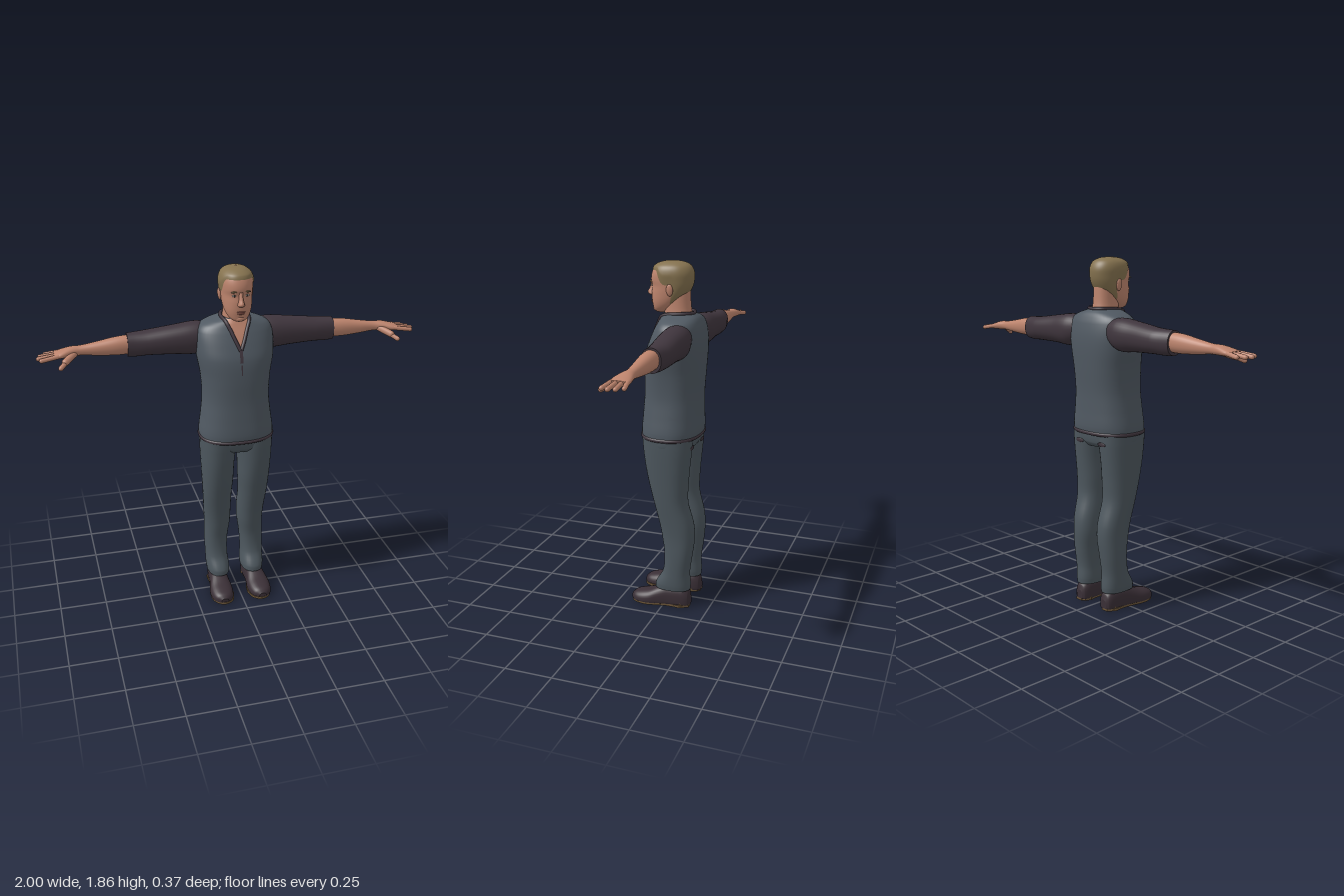
import * as THREE from 'three';

const mat = (name, color) => {
  const m = new THREE.MeshStandardMaterial({ color });
  m.name = name;
  return m;
};

// Sections are [t, centre, halfWidth, high, low]; smooth interpolation along t
function section(secs, t) {
  const last = secs.length - 1;
  let i = 0;
  while (i < last - 1 && t > secs[i + 1][0]) i++;
  const a = secs[i], b = secs[i + 1], p = secs[Math.max(i - 1, 0)], q = secs[Math.min(i + 2, last)];
  const h = b[0] - a[0], u = THREE.MathUtils.clamp((t - a[0]) / h, 0, 1);
  const u2 = u * u, u3 = u2 * u;
  return [1, 2, 3, 4].map((k) => {
    const ma = (b[k] - p[k]) / (b[0] - p[0]), mb = (q[k] - a[k]) / (q[0] - a[0]);
    return (2 * u3 - 3 * u2 + 1) * a[k] + (u3 - 2 * u2 + u) * h * ma + (3 * u2 - 2 * u3) * b[k] + (u3 - u2) * h * mb;
  });
}

// Point on a superelliptic section: [across, along, depth]
function surface(secs, t, ang, n, grow = 1) {
  const [c, r, hi, lo] = section(secs, t);
  const pw = (v) => Math.sign(v) * Math.abs(v) ** (2 / n);
  return [c + r * grow * pw(Math.cos(ang)), t, (hi + lo) / 2 + ((hi - lo) / 2) * grow * pw(Math.sin(ang))];
}

// Front depth of a vertical loft at x, y
function frontZ(secs, x, y, n) {
  const [c, r, hi, lo] = section(secs, y);
  const k = Math.max(0, 1 - Math.abs((x - c) / r) ** n) ** (1 / n);
  return (hi + lo) / 2 + ((hi - lo) / 2) * k;
}

function build(pos, index) {
  const g = new THREE.BufferGeometry();
  g.setAttribute('position', new THREE.Float32BufferAttribute(pos, 3));
  g.setIndex(index);
  g.computeVertexNormals();
  return g;
}

const upright = (p) => p;
const alongX = ([a, t, b]) => [t, b, a];
const alongZ = ([a, t, b]) => [-a, Math.max(b, 0.012), t];

// Closed tube through the sections, capped at both ends
function loft(secs, { map = upright, n = 2.2, seg = 32, sub = 5 } = {}) {
  const ts = [];
  secs.slice(0, -1).forEach((s, i) => {
    for (let k = 0; k < sub; k++) ts.push(s[0] + ((secs[i + 1][0] - s[0]) * k) / sub);
  });
  ts.push(secs.at(-1)[0]);
  const pos = [], idx = [];
  const ring = (t) => {
    for (let j = 0; j < seg; j++) pos.push(...map(surface(secs, t, (j / seg) * Math.PI * 2, n)));
  };
  ts.forEach((t, i) => {
    ring(t);
    for (let j = 0; i && j < seg; j++) {
      const k = (j + 1) % seg, a = (i - 1) * seg, b = i * seg;
      idx.push(a + j, b + j, a + k, b + j, b + k, a + k);
    }
  });
  [ts[0], ts.at(-1)].forEach((t, top) => {
    const base = pos.length / 3, [c, , hi, lo] = section(secs, t);
    ring(t);
    pos.push(...map([c, t, (hi + lo) / 2]));
    for (let j = 0; j < seg; j++) {
      const a = base + j, b = base + ((j + 1) % seg);
      idx.push(base + seg, top ? b : a, top ? a : b);
    }
  });
  return build(pos, idx);
}

// Thin face lying on the front of a vertical loft
function frontPatch(secs, y0, y1, width, n, off) {
  const pos = [], idx = [], N = 12;
  for (let j = 0; j <= N; j++) for (let i = 0; i <= N; i++) {
    const y = y0 + ((y1 - y0) * j) / N, x = ((i / N) * 2 - 1) * width(j / N);
    pos.push(x, y, frontZ(secs, x, y, n) + off);
    if (i < N && j < N) {
      const a = j * (N + 1) + i, b = a + N + 1;
      idx.push(a, a + 1, b, a + 1, b + 1, b);
    }
  }
  return build(pos, idx);
}

function blob(x, y, z, sx, sy, sz, tilt = 0) {
  return new THREE.SphereGeometry(1, 20, 14).scale(sx, sy, sz).rotateZ(tilt).translate(x, y, z);
}

function capsule(a, b, r) {
  const p = new THREE.Vector3(...a), q = new THREE.Vector3(...b), d = q.clone().sub(p);
  const g = new THREE.CapsuleGeometry(r, d.length(), 5, 12);
  g.applyQuaternion(new THREE.Quaternion().setFromUnitVectors(new THREE.Vector3(0, 1, 0), d.normalize()));
  return g.translate(...p.add(q).multiplyScalar(0.5).toArray());
}

function mirrored(geo) {
  const g = geo.clone().scale(-1, 1, 1), ix = g.index;
  for (let i = 0; i < ix.count; i += 3) {
    const a = ix.getX(i);
    ix.setX(i, ix.getX(i + 1));
    ix.setX(i + 1, a);
  }
  return g;
}

export function createModel() {
  const skin = mat('skin', 0xbd846d), shirt = mat('shirt cloth', 0x505962), trousers = mat('trouser cloth', 0x4d575e);
  const dark = mat('dark cloth', 0x3f353d), hair = mat('hair', 0x85724f), sole = mat('sole', 0x6b5539);
  const leather = mat('shoe leather', 0x3a2f36), white = mat('eye white', 0xb9aea6), iris = mat('iris', 0x34302e), lip = mat('lips', 0x9c5f54);
  const group = new THREE.Group();
  group.name = 'standingMan';
  const add = (name, geo, m) => {
    const mesh = new THREE.Mesh(geo, m);
    mesh.name = name;
    group.add(mesh);
  };
  const pair = (name, geo, m) => {
    add(name + 'Left', geo, m);
    add(name + 'Right', mirrored(geo), m);
  };

  // Head, neck and hair
  const head = [[1.6, 0, 0.022, 0.078, 0.03], [1.61, 0, 0.04, 0.089, 0.01], [1.63, 0, 0.057, 0.094, -0.02], [1.66, 0, 0.069, 0.099, -0.055],
    [1.7, 0, 0.076, 0.1, -0.09], [1.735, 0, 0.079, 0.097, -0.106], [1.765, 0, 0.081, 0.104, -0.112], [1.8, 0, 0.081, 0.099, -0.112],
    [1.83, 0, 0.07, 0.084, -0.098], [1.845, 0, 0.05, 0.06, -0.076], [1.852, 0, 0.028, 0.03, -0.045], [1.854, 0, 0.003, -0.005, -0.011]];
  add('head', loft(head, { seg: 40 }), skin);
  add('neck', loft([[1.48, 0, 0.07, 0.045, -0.12], [1.57, 0, 0.064, 0.035, -0.115], [1.63, 0, 0.058, 0.033, -0.105], [1.71, 0, 0.056, 0.03, -0.1]]), skin);
  const step = THREE.MathUtils.smoothstep;
  const hairline = (a) => {
    const s = Math.sin(a);
    return 1.65 + 0.095 * step(s, -0.5, -0.1) + 0.07 * step(s, 0.15, 0.65);
  };
  const hp = [], hi = [], HS = 64, HV = 24;
  for (let v = 0; v <= HV; v++) for (let j = 0; j < HS; j++) {
    const a = (j / HS) * Math.PI * 2, y0 = hairline(a), f = v / HV;
    const y = y0 + (1.854 - y0) * (1 - (1 - f) ** 2);
    const p = surface(head, y, a, 2.2, 1.02 + 0.05 * Math.min(1, f * 4));
    hp.push(p[0], p[1] + 0.008 * f, p[2]);
    if (v < HV) {
      const k = (j + 1) % HS, b = v * HS, c = b + HS;
      hi.push(b + j, c + j, b + k, c + j, c + k, b + k);
    }
  }
  add('hair', build(hp, hi), hair);

  // Face
  add('nose', loft([[1.681, 0, 0.011, 0.108, 0.07], [1.689, 0, 0.018, 0.121, 0.07], [1.698, 0, 0.016, 0.128, 0.07],
    [1.72, 0, 0.011, 0.117, 0.075], [1.755, 0, 0.009, 0.105, 0.085]], { seg: 20 }), skin);
  const face = (x, y) => frontZ(head, x, y, 2.2);
  pair('ear', blob(0.082, 1.722, -0.018, 0.009, 0.031, 0.018, -0.12), skin);
  pair('eye', blob(0.032, 1.737, face(0.032, 1.737), 0.013, 0.0055, 0.004), white);
  pair('iris', blob(0.032, 1.737, face(0.032, 1.737) + 0.002, 0.0055, 0.0055, 0.004), iris);
  pair('brow', blob(0.033, 1.757, face(0.033, 1.757), 0.018, 0.004, 0.006, -0.08), hair);
  add('upperLip', blob(0, 1.655, face(0, 1.655), 0.022, 0.004, 0.007), lip);
  add('lowerLip', blob(0, 1.647, face(0, 1.647), 0.018, 0.005, 0.007), lip);
  add('chin', blob(0, 1.618, 0.08, 0.024, 0.016, 0.016), skin);

  // Shirt body with hem, open neck and placket
  const torso = [[0.957, 0, 0.196, 0.14, -0.167], [1.0, 0, 0.195, 0.142, -0.172], [1.08, 0, 0.184, 0.136, -0.17], [1.18, 0, 0.174, 0.129, -0.17],
    [1.3, 0, 0.181, 0.127, -0.178], [1.4, 0, 0.198, 0.118, -0.183], [1.47, 0, 0.202, 0.093, -0.181], [1.53, 0, 0.195, 0.066, -0.171],
    [1.56, 0, 0.175, 0.05, -0.16], [1.58, 0, 0.135, 0.04, -0.148], [1.594, 0, 0.088, 0.034, -0.132], [1.602, 0, 0.066, 0.03, -0.12]];
  add('shirtBody', loft(torso, { n: 2.4, seg: 48 }), shirt);
  add('shirtHem', loft([[0.953, 0, 0.194, 0.139, -0.166], [0.958, 0, 0.2, 0.145, -0.172], [0.967, 0, 0.2, 0.146, -0.173], [0.973, 0, 0.195, 0.14, -0.168]], { n: 2.4, seg: 48 }), dark);
  add('chest', frontPatch(torso, 1.462, 1.6, (f) => 0.001 + 0.058 * f ** 0.9, 2.4, 0.003), skin);
  add('placket', frontPatch(torso, 1.395, 1.465, () => 0.008, 2.4, 0.003), dark);
  add('buttonSeam', frontPatch(torso, 1.33, 1.385, () => 0.003, 2.4, 0.002), dark);
  const edge = [[0.002, 1.455], [0.022, 1.5], [0.042, 1.55], [0.06, 1.588]].map(([x, y]) => [x, y, frontZ(torso, x, y, 2.4) + 0.002]);
  const half = [...edge, [0.07, 1.602, -0.05], [0.05, 1.604, -0.105]];
  const path = [...half, [0, 1.602, -0.122], ...half.toReversed().map(([x, y, z]) => [-x, y, z])];
  const curve = new THREE.CatmullRomCurve3(path.map((p) => new THREE.Vector3(...p)));
  add('collarTrim', new THREE.TubeGeometry(curve, 80, 0.009, 8), dark);

  // Arms
  pair('sleeve', loft([[0.13, -0.088, 0.066, 1.56, 1.42], [0.2, -0.091, 0.077, 1.566, 1.398], [0.3, -0.092, 0.073, 1.554, 1.404],
    [0.44, -0.099, 0.066, 1.536, 1.408], [0.5, -0.097, 0.057, 1.532, 1.406], [0.545, -0.094, 0.05, 1.53, 1.409]], { map: alongX }), dark);
  pair('forearm', loft([[0.52, -0.092, 0.043, 1.522, 1.425], [0.6, -0.091, 0.042, 1.516, 1.423], [0.7, -0.091, 0.033, 1.499, 1.43],
    [0.78, -0.091, 0.027, 1.487, 1.438], [0.83, -0.089, 0.036, 1.485, 1.437], [0.875, -0.084, 0.047, 1.474, 1.436], [0.91, -0.083, 0.046, 1.463, 1.437]], { map: alongX, seg: 28 }), skin);
  [[-0.047, -0.034, 0.974], [-0.071, -0.067, 0.988], [-0.096, -0.099, 0.978], [-0.119, -0.129, 0.952]].forEach(([z0, z1, x], i) => {
    pair('finger' + (i + 1), capsule([0.89, 1.453, z0], [x, 1.443, z1], 0.0115), skin);
  });
  pair('thumbBase', capsule([0.81, 1.453, -0.075], [0.86, 1.43, -0.022], 0.018), skin);
  pair('thumbTip', capsule([0.855, 1.43, -0.024], [0.886, 1.411, 0.008], 0.0125), skin);

  // Trousers
  add('trouserSeat', loft([[0.885, 0, 0.16, 0.09, -0.125], [0.91, 0, 0.19, 0.112, -0.142], [0.98, 0, 0.192, 0.124, -0.15]], { n: 2.4 }), trousers);
  pair('trouserLeg', loft([[0.098, 0.098, 0.06, 0.052, -0.142], [0.13, 0.099, 0.063, 0.048, -0.144], [0.2, 0.102, 0.061, 0.008, -0.14],
    [0.3, 0.101, 0.064, -0.002, -0.153], [0.4, 0.094, 0.07, 0.013, -0.163], [0.48, 0.095, 0.073, 0.028, -0.157], [0.6, 0.1, 0.077, 0.057, -0.126],
    [0.7, 0.1, 0.083, 0.082, -0.127], [0.8, 0.101, 0.087, 0.102, -0.135], [0.9, 0.099, 0.093, 0.115, -0.145], [0.96, 0.098, 0.095, 0.12, -0.148]], { n: 2.3 }), trousers);
  pair('backPocket', blob(0.085, 0.908, -0.145, 0.03, 0.011, 0.004), dark);

  // Shoes, with soles and heels
  pair('shoe', loft([[-0.145, -0.098, 0.02, 0.06, 0], [-0.135, -0.098, 0.036, 0.09, -0.02], [-0.1, -0.099, 0.046, 0.115, -0.03], [-0.02, -0.103, 0.05, 0.115, -0.03],
    [0.03, -0.106, 0.056, 0.098, -0.03], [0.08, -0.108, 0.064, 0.076, -0.03], [0.13, -0.109, 0.06, 0.063, -0.03], [0.165, -0.109, 0.045, 0.052, -0.02], [0.185, -0.109, 0.02, 0.035, 0]],
  { map: alongZ, n: 2.5 }), leather);
  const outline = [[-0.1, 0.046], [-0.02, 0.044], [0.08, 0.064], [0.13, 0.06], [0.165, 0.045], [0.186, 0.015]];
  const tread = new THREE.Shape();
  tread.moveTo(-0.02, -0.143);
  tread.splineThru([...outline, ...outline.toReversed().map(([z, r]) => [z, -r])].map(([z, r]) => new THREE.Vector2(-r, z)));
  tread.lineTo(0.02, -0.143);
  const slab = (shape, h) => {
    const g = new THREE.ExtrudeGeometry(shape, { depth: h, bevelEnabled: false, curveSegments: 4 });
    g.setIndex([...Array(g.attributes.position.count).keys()]);
    return g.rotateX(Math.PI / 2).translate(0.105, h, 0);
  };
  pair('sole', slab(tread, 0.013), sole);
  const heel = new THREE.Shape().absellipse(0, -0.097, 0.046, 0.047, 0, Math.PI * 2);
  pair('heel', slab(heel, 0.024).translate(-0.006, 0, 0), sole);
  return group;
}
